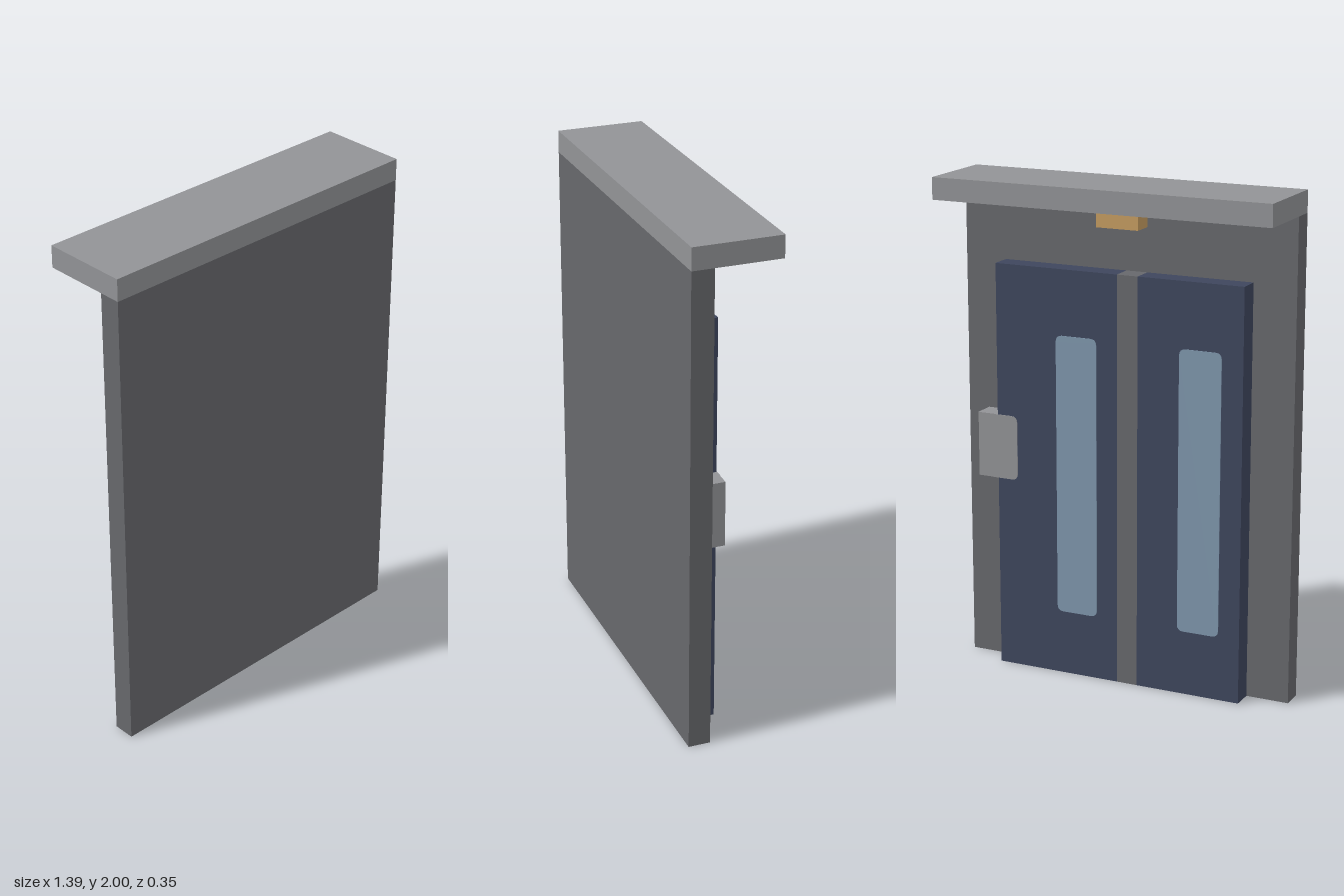
import * as THREE from 'three';

const U = 2 / 23; // modular grid unit: the model is 16 x 23 x 4 units
const PLATE = 0.003;

const mat = (name, color) => {
  const m = new THREE.MeshStandardMaterial({ color });
  m.name = name;
  return m;
};

export function createModel() {
  const lightGrey = mat('light grey', 0x929396);
  const darkGrey = mat('dark grey', 0x67686c);
  const navy = mat('navy', 0x3e465d);
  const glass = mat('pale blue glass', 0x7e96ac);
  const amber = mat('amber', 0xc49b60);

  const group = new THREE.Group();
  group.name = 'doorway';

  // Box given by its corner limits in grid units
  const box = (name, material, x0, x1, y0, y1, z0, z1) => {
    const mesh = new THREE.Mesh(
      new THREE.BoxGeometry((x1 - x0) * U, (y1 - y0) * U, (z1 - z0) * U), material);
    mesh.position.set((x0 + x1) / 2 * U, (y0 + y1) / 2 * U, (z0 + z1) / 2 * U);
    mesh.name = name;
    group.add(mesh);
  };

  // Thin round-cornered plate lying on the door face (z = 0), facing -z
  const plate = (name, material, x0, x1, y0, y1, radius = 0.3) => {
    const s = new THREE.Shape();
    const r = radius * U, a = x0 * U, b = x1 * U, c = y0 * U, d = y1 * U;
    s.moveTo(a + r, c);
    s.lineTo(b - r, c).quadraticCurveTo(b, c, b, c + r);
    s.lineTo(b, d - r).quadraticCurveTo(b, d, b - r, d);
    s.lineTo(a + r, d).quadraticCurveTo(a, d, a, d - r);
    s.lineTo(a, c + r).quadraticCurveTo(a, c, a + r, c);
    const mesh = new THREE.Mesh(
      new THREE.ExtrudeGeometry(s, { depth: PLATE, bevelEnabled: false, curveSegments: 4 }), material);
    mesh.position.z = -PLATE;
    mesh.name = name;
    group.add(mesh);
  };

  // Wall slab and canopy
  box('wall', darkGrey, -8, 8, 0, 22, 1, 2);
  box('canopy', lightGrey, -8, 8, 22, 23, -2, 2);

  // Two door leaves with the seam strip between them
  box('leftDoorLeaf', navy, 0, 6, 0, 19, 0, 1);
  box('doorSeam', darkGrey, -1, 0, 0, 19, 0, 1);
  box('rightDoorLeaf', navy, -6, -1, 0, 19, 0, 1);

  // Tall window in each leaf
  plate('leftWindow', glass, 1, 3, 3, 16);
  plate('rightWindow', glass, -5, -3, 3, 16);

  // Control panel overlapping the door edge
  box('controlPanel', lightGrey, 6, 7, 9, 12, 0, 1);
  plate('controlPanelFace', lightGrey, 5, 6.5, 9, 12);

  // Lamp under the canopy
  box('lamp', amber, -1, 1, 21, 22, 0, 1);

  return group;
}
